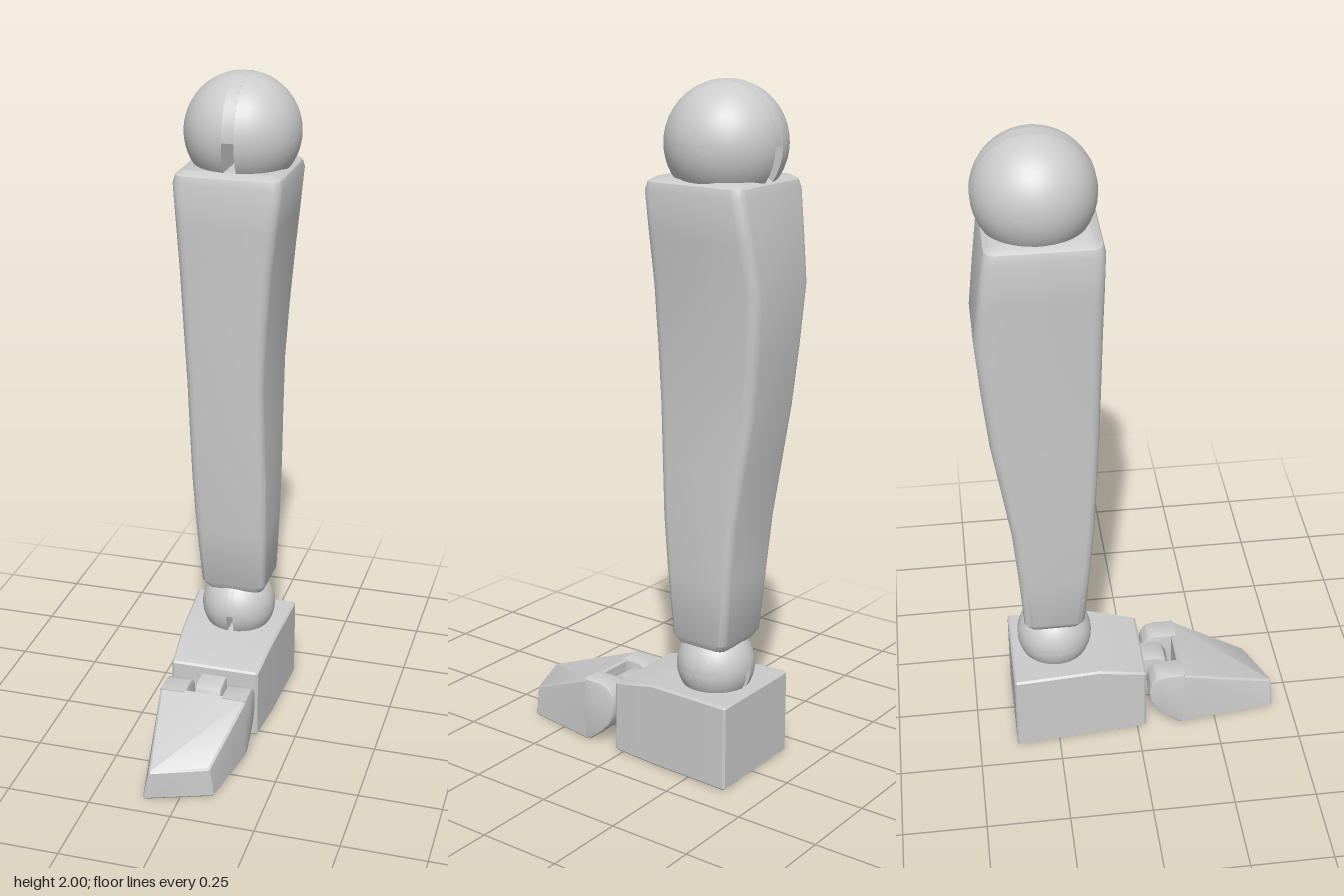
import * as THREE from 'three';
import { toCreasedNormals } from 'three/addons/utils/BufferGeometryUtils.js';
import { ConvexGeometry } from 'three/addons/geometries/ConvexGeometry.js';

const material = new THREE.MeshStandardMaterial({ color: 0xcccccc, roughness: 0.7 });

function part(name, geometry, crease = 0.6) {
  const flat = geometry.index ? geometry.toNonIndexed() : geometry;
  const mesh = new THREE.Mesh(toCreasedNormals(flat, crease), material);
  mesh.name = name;
  return mesh;
}

// Ball joint: two side caps plus an upper half-disc slab, leaving a slot below the centre.
function slottedBall(name, r, slot) {
  const ball = new THREE.Group();
  ball.name = name;
  const h = slot / 2;
  const start = Math.acos(h / r);
  const profile = [new THREE.Vector2(0, h)];
  const steps = 14;
  for (let i = 0; i <= steps; i++) {
    const a = start * (1 - i / steps);
    profile.push(new THREE.Vector2(i === steps ? 0 : r * Math.sin(a), r * Math.cos(a)));
  }
  for (const side of [1, -1]) {
    const cap = part(side > 0 ? 'leftCap' : 'rightCap', new THREE.LatheGeometry(profile, 40));
    cap.rotation.z = -side * Math.PI / 2;
    ball.add(cap);
  }
  const disc = new THREE.Shape();
  disc.absarc(0, 0, Math.sqrt(r * r - h * h), 0, Math.PI, false);
  disc.closePath();
  const slab = new THREE.ExtrudeGeometry(disc, { depth: slot, bevelEnabled: false, curveSegments: 20 });
  slab.translate(0, 0, -h).rotateY(Math.PI / 2);
  ball.add(part('centreSlab', slab));
  return ball;
}

// Rounded-rectangle rings [y, xMin, xMax, zMin, zMax, cornerRadius] joined upwards and capped.
function loft(rings) {
  const corner = 4, n = 4 * (corner + 1);
  const positions = [], index = [];
  for (const [y, x0, x1, z0, z1, r] of rings) {
    const centres = [[x1 - r, z1 - r], [x0 + r, z1 - r], [x0 + r, z0 + r], [x1 - r, z0 + r]];
    centres.forEach(([cx, cz], q) => {
      for (let k = 0; k <= corner; k++) {
        const a = (q + k / corner) * Math.PI / 2;
        positions.push(cx + r * Math.cos(a), y, cz + r * Math.sin(a));
      }
    });
  }
  for (let j = 0; j < rings.length - 1; j++) {
    for (let i = 0; i < n; i++) {
      const a = j * n + i, b = j * n + (i + 1) % n;
      index.push(a, a + n, b, b, a + n, b + n);
    }
  }
  const top = (rings.length - 1) * n;
  for (let i = 1; i < n - 1; i++) {
    index.push(0, i, i + 1);
    index.push(top, top + i + 1, top + i);
  }
  const g = new THREE.BufferGeometry();
  g.setAttribute('position', new THREE.Float32BufferAttribute(positions, 3));
  g.setIndex(index);
  return g;
}

// Convex block with softened edges; corners are the centres of small octahedra.
function softHull(corners, r) {
  const points = [];
  for (const [x, y, z] of corners) {
    for (const s of [r, -r]) {
      points.push(new THREE.Vector3(x + s, y, z), new THREE.Vector3(x, y + s, z), new THREE.Vector3(x, y, z + s));
    }
  }
  return new ConvexGeometry(points);
}

// Side outline given as [z, y], extruded from x0 to x1 with a small bevel.
function sideExtrude(outline, x0, x1, bevel) {
  const shape = new THREE.Shape(outline.map(([z, y]) => new THREE.Vector2(z, y)));
  const g = new THREE.ExtrudeGeometry(shape, {
    depth: x1 - x0 - 2 * bevel, bevelThickness: bevel, bevelSize: bevel, bevelOffset: -bevel, bevelSegments: 2,
  });
  return g.rotateY(-Math.PI / 2).translate(x1 - bevel, 0, 0);
}

export function createModel() {
  const model = new THREE.Group();
  model.name = 'lowerLeg';

  // Knee and ankle joints
  const knee = slottedBall('kneeBall', 0.17, 0.036);
  knee.position.set(0, 1.83, -0.26);
  const ankle = slottedBall('ankleBall', 0.115, 0.02);
  ankle.position.set(0, 0.315, -0.245);
  model.add(knee, ankle);

  // Shin with calf bulge, rounded at both ends
  model.add(part('shin', loft([
    [0.385, -0.07, 0.075, -0.31, -0.185, 0.02],
    [0.392, -0.085, 0.092, -0.327, -0.168, 0.025],
    [0.415, -0.1, 0.104, -0.34, -0.155, 0.025],
    [0.6, -0.113, 0.109, -0.352, -0.138, 0.025],
    [0.77, -0.122, 0.11, -0.366, -0.124, 0.025],
    [0.93, -0.127, 0.106, -0.39, -0.115, 0.026],
    [1.1, -0.132, 0.103, -0.416, -0.106, 0.028],
    [1.27, -0.141, 0.111, -0.432, -0.1, 0.03],
    [1.45, -0.15, 0.124, -0.445, -0.094, 0.032],
    [1.58, -0.158, 0.14, -0.429, -0.089, 0.032],
    [1.705, -0.166, 0.155, -0.412, -0.085, 0.032],
    [1.728, -0.16, 0.149, -0.405, -0.091, 0.03],
    [1.74, -0.142, 0.131, -0.388, -0.11, 0.025],
  ])));

  // Heel block with sloping instep
  const r = 0.006;
  const heel = [];
  for (const [z, left, right, top] of [[-0.377, -0.169, 0.148, 0.254], [-0.12, -0.147, 0.14, 0.25], [0.022, -0.134, 0.128, 0.217]]) {
    for (const x of [left, right]) heel.push([x, r, z], [x, top, z]);
  }
  model.add(part('heel', softHull(heel, r), 0.5));

  // Hinge tongue at the front of the heel
  model.add(part('hingeTongue', sideExtrude([
    [0, 0.055], [0.06, 0.055], [0.095, 0.07], [0.112, 0.1], [0.112, 0.16], [0.1, 0.185], [0.08, 0.195], [0, 0.195],
  ], -0.045, 0.037, 0.006)));

  // Toe: tapering front body and two hinge prongs
  const toe = new THREE.Group();
  toe.name = 'toe';
  toe.add(part('toeBody', softHull([
    [-0.134, r, 0.141], [0.124, r, 0.141], [-0.134, 0.192, 0.141], [0.124, 0.192, 0.141],
    [-0.097, r, 0.437], [0.088, r, 0.37], [-0.08, 0.09, 0.434], [0.076, 0.09, 0.372],
  ], r), 0.5));
  const prong = [
    [0.15, 0.003], [0.15, 0.198], [0.085, 0.198], [0.06, 0.19], [0.044, 0.17],
    [0.038, 0.14], [0.041, 0.105], [0.055, 0.072], [0.08, 0.045], [0.13, 0.003],
  ].reverse();
  toe.add(part('rightProng', sideExtrude(prong, -0.14, -0.06, 0.006)));
  toe.add(part('leftProng', sideExtrude(prong, 0.052, 0.13, 0.006)));
  model.add(toe);

  return model;
}
